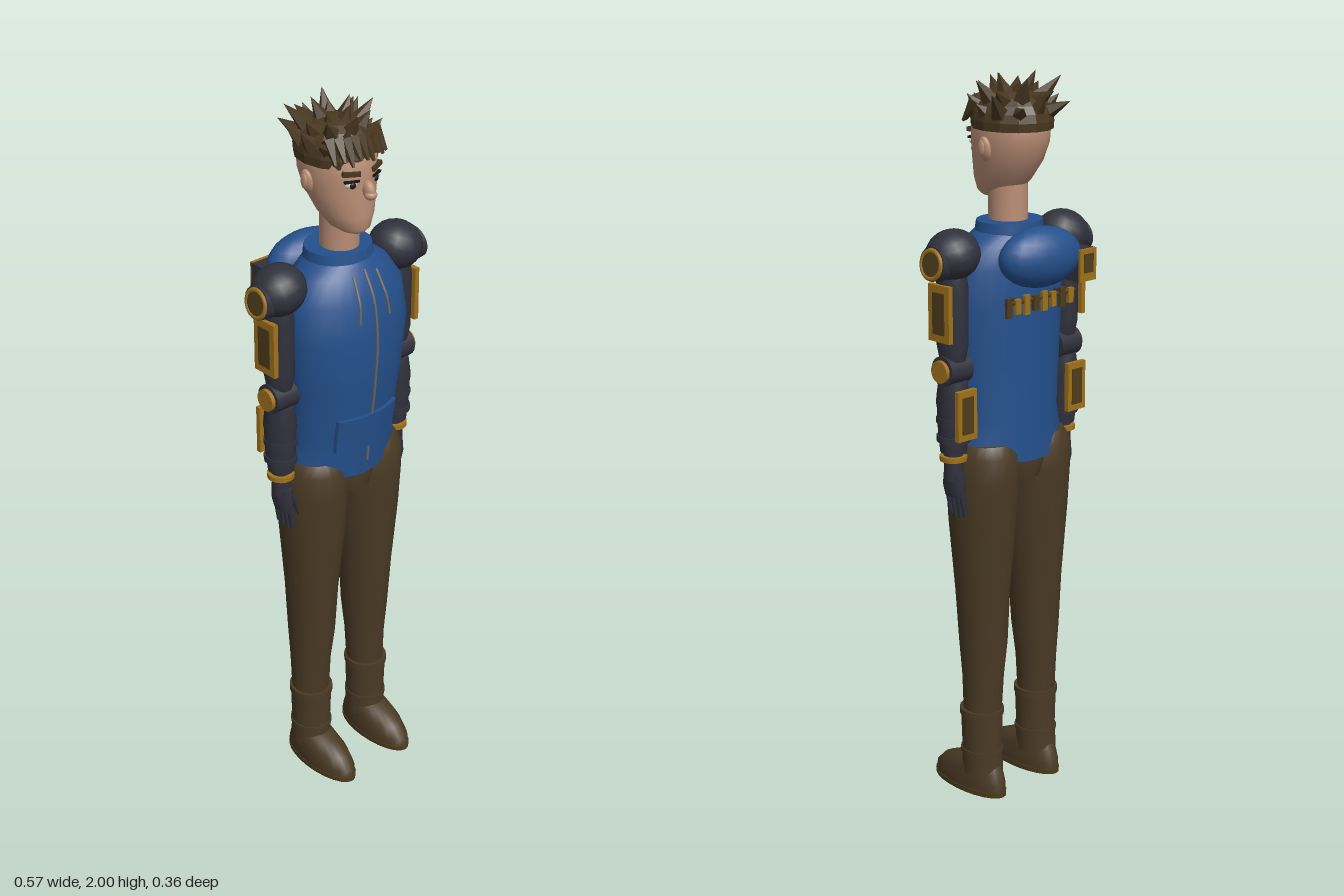
import * as THREE from 'three';

const paint = (name, color) => {
  const m = new THREE.MeshStandardMaterial({ color });
  m.name = name;
  return m;
};
const M = {
  blue: paint('blue cloth', 0x24508c), brown: paint('brown cloth', 0x4a3a24),
  hair: paint('dark brown hair', 0x483720), skin: paint('skin', 0xbb8f76),
  dark: paint('dark armour', 0x30313c), gold: paint('gold metal', 0xa0721c),
  inset: paint('inset brown', 0x4f3d1c), black: paint('near black', 0x1a1614),
  grey: paint('grey cord', 0x6a6866), white: paint('eye white', 0xc8c0b8),
};
const flatHair = M.hair;
flatHair.flatShading = true;

// Smooth body from rings [y, centre x, half width, front z, back z], bottom to top
function loft(rows, n = 24, lift = 0) {
  const pos = [], idx = [];
  rows.forEach(([y, cx, rx, f, b], i) => {
    for (let j = 0; j < n; j++) {
      const a = (j / n) * Math.PI * 2, s = Math.sin(a);
      pos.push(cx + rx * s, y + (i === 0 ? lift * s * s : 0), (f + b) / 2 + ((f - b) / 2) * Math.cos(a));
    }
  });
  for (let i = 0; i < rows.length - 1; i++) for (let j = 0; j < n; j++) {
    const k = (j + 1) % n, a = i * n + j, b = i * n + k;
    idx.push(a, b, b + n, a, b + n, a + n);
  }
  // End caps use their own vertices for a crisp rim
  for (const [i, up] of [[0, false], [rows.length - 1, true]]) {
    const start = pos.length / 3, [y, cx, , f, b] = rows[i];
    for (let j = 0; j < n * 3; j++) pos.push(pos[i * n * 3 + j]);
    pos.push(cx, y, (f + b) / 2);
    for (let j = 0; j < n; j++) {
      const p = start + j, q = start + (j + 1) % n;
      idx.push(start + n, up ? p : q, up ? q : p);
    }
  }
  const g = new THREE.BufferGeometry();
  g.setAttribute('position', new THREE.Float32BufferAttribute(pos, 3));
  g.setIndex(idx);
  g.computeVertexNormals();
  return g;
}

const TORSO = [
  [0.975, 0, 0.172, 0.108, -0.103], [1.1, 0, 0.157, 0.12, -0.1], [1.25, 0, 0.172, 0.14, -0.1],
  [1.4, 0, 0.185, 0.15, -0.1], [1.5, 0, 0.176, 0.135, -0.1], [1.56, 0, 0.138, 0.105, -0.092],
  [1.59, 0, 0.095, 0.085, -0.083],
];
// Depth of the shirt's front surface at (x, y)
function chestZ(x, y) {
  let i = 0;
  while (i < TORSO.length - 2 && TORSO[i + 1][0] < y) i++;
  const t = (y - TORSO[i][0]) / (TORSO[i + 1][0] - TORSO[i][0]);
  const [, , rx, f, b] = TORSO[i].map((v, k) => v + (TORSO[i + 1][k] - v) * t);
  return (f + b) / 2 + ((f - b) / 2) * Math.sqrt(Math.max(0, 1 - (x / rx) ** 2));
}

export function createModel() {
  const model = new THREE.Group();
  const add = (name, geo, mat, x = 0, y = 0, z = 0, rx = 0, ry = 0, rz = 0) => {
    const m = new THREE.Mesh(geo, mat);
    m.name = name;
    m.position.set(x, y, z);
    m.rotation.set(rx, ry, rz);
    model.add(m);
    return m;
  };
  const box = (w, h, d) => new THREE.BoxGeometry(w, h, d);
  const ball = (rx, ry, rz, n = 20) => new THREE.SphereGeometry(1, n, Math.ceil(n * 0.7)).scale(rx, ry, rz);
  const disc = (r, w, n = 20) => new THREE.CylinderGeometry(r, r, w, n).rotateZ(Math.PI / 2);
  const rod = (name, a, b, r, mat, tip = r, sides = 8) => {
    const p = new THREE.Vector3(...a), q = new THREE.Vector3(...b), d = q.clone().sub(p);
    const m = add(name, new THREE.CylinderGeometry(tip, r, d.length(), sides), mat);
    m.position.copy(p).add(q).multiplyScalar(0.5);
    m.quaternion.setFromUnitVectors(new THREE.Vector3(0, 1, 0), d.normalize());
  };

  // Shirt, collar, hood
  add('shirt', loft(TORSO, 32, 0.04), M.blue);
  add('collar', loft([[1.56, 0, 0.1, 0.088, -0.088], [1.615, 0, 0.092, 0.08, -0.085]], 28), M.blue);
  add('hood', ball(0.126, 0.08, 0.066, 18), M.blue, 0, 1.53, -0.116, 0, -0.12);

  // Front pocket bent to the chest
  const pocket = new THREE.BoxGeometry(0.2, 0.1, 0.012, 12, 3, 1).translate(0, 1.12, 0);
  const pp = pocket.attributes.position;
  for (let i = 0; i < pp.count; i++) pp.setZ(i, pp.getZ(i) + chestZ(pp.getX(i), pp.getY(i)) + 0.005);
  pocket.computeVertexNormals();
  add('pocket', pocket, M.blue);

  // Zip and draw strings
  const cord = (name, x0, x1, y0, y1, r) => {
    const pts = [];
    for (let i = 0; i <= 8; i++) {
      const y = y0 + (y1 - y0) * i / 8, x = x0 + (x1 - x0) * i / 8;
      pts.push(new THREE.Vector3(x, y, chestZ(x, y) + 0.003));
    }
    add(name, new THREE.TubeGeometry(new THREE.CatmullRomCurve3(pts), 24, r, 6), M.grey);
  };
  cord('zip', 0, 0, 1.575, 1.02, 0.004);
  for (const s of [-1, 1]) cord('drawString', s * 0.038, s * 0.05, 1.565, 1.45, 0.004);

  // Hips
  add('hips', loft([[0.92, 0, 0.075, 0.095, -0.09], [0.96, 0, 0.09, 0.104, -0.1], [1.02, 0, 0.12, 0.1, -0.098]]), M.brown);

  // Neck and head
  add('neck', loft([[1.58, 0, 0.05, 0.055, -0.05], [1.72, 0, 0.05, 0.06, -0.05]]), M.skin);
  add('head', loft([
    [1.672, 0, 0.03, 0.09, 0.005], [1.685, 0, 0.048, 0.102, -0.025], [1.72, 0, 0.068, 0.106, -0.06],
    [1.77, 0, 0.085, 0.104, -0.095], [1.82, 0, 0.094, 0.105, -0.115], [1.87, 0, 0.095, 0.103, -0.12],
    [1.92, 0, 0.08, 0.08, -0.1], [1.945, 0, 0.045, 0.045, -0.06],
  ], 28), M.skin);
  add('nose', ball(0.014, 0.026, 0.02, 12), M.skin, 0, 1.795, 0.113, -0.3);
  add('noseTip', ball(0.017, 0.013, 0.016, 12), M.skin, 0, 1.785, 0.12);
  for (const s of [-1, 1]) {
    add('ear', ball(0.012, 0.032, 0.02, 14), M.skin, s * 0.095, 1.808, -0.01, 0, 0, -s * 0.15);
    add('innerEar', ball(0.005, 0.02, 0.012, 10), M.skin, s * 0.106, 1.81, -0.008);
    add('eye', ball(0.017, 0.009, 0.007, 12), M.white, s * 0.04, 1.813, 0.092, 0, s * 0.3);
    add('pupil', ball(0.009, 0.009, 0.005, 12), M.black, s * 0.039, 1.813, 0.097, 0, s * 0.3);
    add('eyelid', box(0.04, 0.006, 0.008), M.black, s * 0.04, 1.823, 0.095, 0, s * 0.35);
    add('eyebrow', box(0.046, 0.012, 0.012), M.hair, s * 0.041, 1.843, 0.094, 0, s * 0.4, s * 0.06);
  }

  // Spiky hair
  add('hairCap', new THREE.SphereGeometry(1, 14, 7, 0, Math.PI * 2, 0, Math.PI * 0.56).scale(0.102, 0.088, 0.115), M.hair, 0, 1.87, -0.012);
  const spikes = (count, r0, y0, r1, y1, width, turn) => {
    for (let i = 0; i < count; i++) {
      const a = (i / count) * Math.PI * 2 + turn, s = Math.sin(a), c = Math.cos(a);
      const v = 1 + 0.12 * Math.sin(i * 4.1 + turn * 9), reach = c < 0 ? 1.08 : 0.82;
      rod('hairSpike', [s * r0, y0, c * r0 - 0.015],
        [s * r1 * v, Math.min(2, y1 + 0.018 * Math.sin(i * 2.7)), c * r1 * v * reach - 0.015], width, M.hair, 0, 5);
    }
  };
  spikes(11, 0.075, 1.89, 0.128, 1.935, 0.03, 0.25);
  spikes(9, 0.06, 1.92, 0.112, 1.972, 0.028, 0.6);
  spikes(5, 0.025, 1.935, 0.05, 1.99, 0.026, 0.2);
  for (let i = 0; i < 9; i++) {
    const x = -0.08 + i * 0.02;
    rod('fringe', [x * 0.9, 1.925, 0.072 - x * x * 4], [x * 1.04, 1.872 + 0.008 * Math.sin(i * 2.3), 0.11 - x * x * 4], 0.02, M.hair, 0.004, 5);
  }

  for (const s of [-1, 1]) {
    // Trouser leg
    add('trouserLeg', loft([
      [0.2, 0.105, 0.05, 0.05, -0.055], [0.35, 0.103, 0.055, 0.057, -0.064], [0.45, 0.1, 0.062, 0.07, -0.074],
      [0.6, 0.1, 0.07, 0.08, -0.08], [0.8, 0.098, 0.086, 0.1, -0.097], [0.93, 0.097, 0.093, 0.108, -0.105],
      [1.0, 0.097, 0.09, 0.105, -0.105], [1.03, 0.095, 0.075, 0.085, -0.085],
    ].map(([y, x, ...r]) => [y, x * s, ...r])), M.brown);
    // Boot
    const cx = s * 0.105;
    add('bootSole', loft([[0, cx, 0.055, 0.18, -0.086], [0.014, cx, 0.056, 0.181, -0.087]]), M.inset);
    add('bootFoot', loft([
      [0.014, cx, 0.054, 0.178, -0.085], [0.035, cx, 0.055, 0.174, -0.083],
      [0.065, cx, 0.053, 0.145, -0.072], [0.088, cx, 0.048, 0.095, -0.06], [0.1, cx, 0.04, 0.06, -0.05],
    ]), M.brown);
    add('bootShaft', loft([[0.06, cx, 0.054, 0.06, -0.064], [0.14, cx, 0.054, 0.056, -0.058], [0.245, cx, 0.057, 0.06, -0.06]]), M.brown);
    add('bootCuff', loft([[0.235, cx, 0.06, 0.063, -0.063], [0.253, cx, 0.06, 0.063, -0.063]]), M.brown);
    add('bootStrap', loft([[0.12, cx, 0.057, 0.061, -0.062], [0.132, cx, 0.057, 0.061, -0.062]]), M.brown);

    // Shoulder with round badge
    add('shoulder', ball(0.074, 0.066, 0.072, 16), M.dark, s * 0.2, 1.547, 0, 0, 0, -s * 0.3);
    add('shoulderHub', disc(0.045, 0.03), M.dark, s * 0.258, 1.532, 0, 0, 0, s * 0.12);
    add('shoulderRing', new THREE.TorusGeometry(0.036, 0.007, 8, 24).rotateY(Math.PI / 2), M.gold, s * 0.272, 1.532, 0, 0, 0, s * 0.12);
    add('shoulderBadge', disc(0.032, 0.008), M.inset, s * 0.273, 1.532, 0, 0, 0, s * 0.12);

    // Upper arm, elbow, forearm
    const ax = s * 0.203;
    add('upperArm', loft([[1.27, ax, 0.032, 0.036, -0.036], [1.31, ax, 0.038, 0.045, -0.045], [1.46, ax, 0.04, 0.045, -0.045], [1.5, ax, 0.036, 0.04, -0.04]], 16), M.dark);
    add('upperPlate', box(0.014, 0.15, 0.078), M.gold, s * 0.244, 1.4, 0);
    add('upperPlateInset', box(0.008, 0.11, 0.044), M.inset, s * 0.249, 1.4, 0);
    add('elbow', disc(0.04, 0.076), M.dark, ax, 1.245, 0);
    add('elbowCap', disc(0.03, 0.014), M.gold, s * 0.245, 1.245, 0);
    add('forearm', loft([[1.02, ax, 0.034, 0.036, -0.036], [1.07, ax, 0.039, 0.042, -0.042], [1.17, ax, 0.042, 0.046, -0.046], [1.215, ax, 0.036, 0.04, -0.04]], 16), M.dark);
    for (let i = 0; i < 3; i++)
      add('forearmBand', loft([[1.05 + i * 0.05, ax, 0.043, 0.047, -0.047], [1.066 + i * 0.05, ax, 0.043, 0.047, -0.047]], 16), M.dark);
    add('forearmPlate', box(0.066, 0.135, 0.014), M.gold, ax, 1.13, -0.05);
    add('forearmPlateInset', box(0.038, 0.1, 0.008), M.inset, ax, 1.13, -0.055);

    // Wrist and hand
    add('wrist', new THREE.CylinderGeometry(0.026, 0.026, 0.09, 14), M.dark, ax, 0.99, 0);
    add('wristRing', new THREE.CylinderGeometry(0.037, 0.037, 0.014, 18), M.gold, ax, 1.004, 0);
    add('palm', loft([[0.895, s * 0.198, 0.018, 0.034, -0.032], [0.925, s * 0.2, 0.024, 0.038, -0.036], [0.965, s * 0.2, 0.024, 0.033, -0.033]], 12), M.dark);
    for (let i = 0; i < 4; i++)
      rod('finger', [s * 0.198, 0.91, -0.026 + i * 0.018], [s * 0.188, 0.832 + 0.006 * Math.abs(i - 1.5), -0.028 + i * 0.018], 0.009, M.dark, 0.007);
    rod('thumb', [s * 0.185, 0.945, 0.03], [s * 0.172, 0.88, 0.04], 0.011, M.dark, 0.008);
  }

  // Device on the back with its strut
  add('backDevice', box(0.064, 0.085, 0.045), M.dark, -0.117, 1.5, -0.148);
  add('backDevicePlate', box(0.06, 0.085, 0.01), M.gold, -0.117, 1.5, -0.172);
  add('backDeviceInset', box(0.034, 0.05, 0.008), M.inset, -0.117, 1.505, -0.176);
  rod('backStrut', [-0.14, 1.5, -0.135], [-0.19, 1.5, -0.06], 0.012, M.dark);

  // Row of small cartridges across the back
  for (let i = 0; i < 8; i++) {
    const x = -0.1 + i * 0.032;
    add('cartridge', box(0.018, 0.04 + 0.012 * (i % 2), 0.01), i % 3 === 1 ? M.inset : M.gold, x, 1.415, -0.128);
  }
  rod('cartridgeRail', [-0.12, 1.425, -0.124], [0.13, 1.425, -0.124], 0.006, M.inset);
  for (const x of [-0.08, 0.08]) rod('railMount', [x, 1.425, -0.08], [x, 1.425, -0.125], 0.006, M.dark);
  return model;
}
